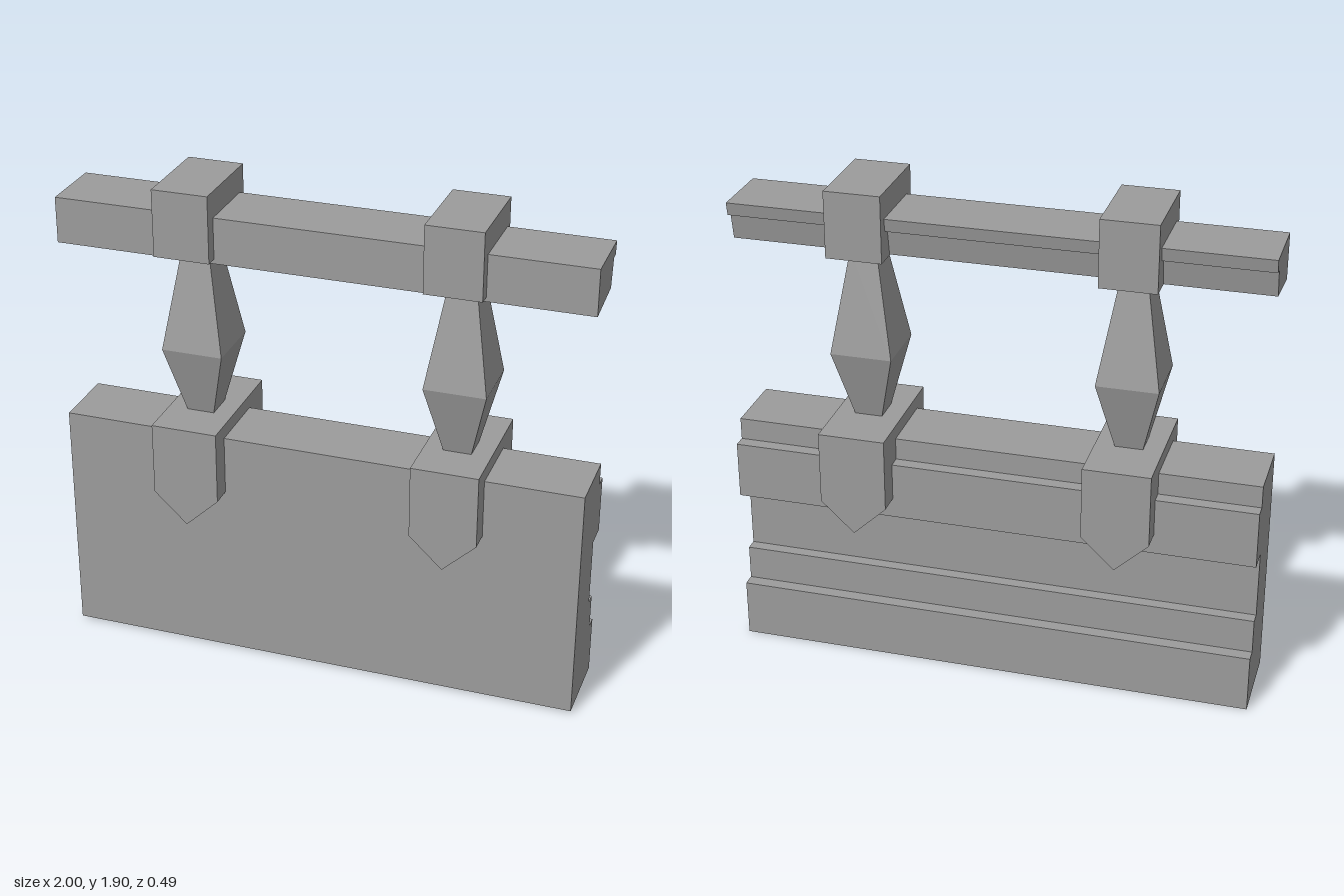
import * as THREE from 'three';

const material = new THREE.MeshStandardMaterial({
  color: 0x9c9c9c, flatShading: true, side: THREE.DoubleSide,
});

function addMesh(group, geometry, name) {
  const mesh = new THREE.Mesh(geometry, material);
  mesh.name = name;
  group.add(mesh);
}

// Extrudes a closed outline by depth, centred on its axis
function prism(points, depth) {
  const shape = new THREE.Shape(points.map(([x, y]) => new THREE.Vector2(x, y)));
  return new THREE.ExtrudeGeometry(shape, { depth, bevelEnabled: false })
    .translate(0, 0, -depth / 2);
}

// Runs a [z, y] profile along the x axis
function beam(profile) {
  return prism(profile.map(([z, y]) => [-z, y]), 2).rotateY(Math.PI / 2);
}

// Removes the faces lying wholly below a height, leaving the underside open
function openBelow(source, height) {
  const geometry = source.index ? source.toNonIndexed() : source;
  const p = geometry.attributes.position;
  const kept = [];
  for (let i = 0; i < p.count; i += 3) {
    if (Math.max(p.getY(i), p.getY(i + 1), p.getY(i + 2)) < height) continue;
    for (let j = i; j < i + 3; j++) kept.push(p.getX(j), p.getY(j), p.getZ(j));
  }
  const result = new THREE.BufferGeometry();
  result.setAttribute('position', new THREE.Float32BufferAttribute(kept, 3));
  result.computeVertexNormals();
  return result;
}

export function createModel() {
  const model = new THREE.Group();
  model.name = 'parapetRailing';

  // Wall: flat front, stepped mouldings on the back
  const wall = beam([
    [0.16, 0.01], [0.16, 0.928], [-0.104, 0.928], [-0.104, 0.843], [-0.154, 0.843],
    [-0.154, 0.622], [-0.058, 0.622], [-0.058, 0.36], [-0.104, 0.36],
    [-0.104, 0.225], [-0.154, 0.225], [-0.154, 0],
  ]);
  addMesh(model, openBelow(wall, 0.02), 'wall');

  // Handrail with a small lip along the back
  const rail = beam([
    [0.155, 1.627], [0.155, 1.802], [-0.107, 1.802], [-0.098, 1.752],
    [-0.072, 1.752], [-0.053, 1.647],
  ]);
  addMesh(model, openBelow(rail, 1.66), 'handrail');

  // Two posts, each with a pointed bracket, a spindle and a cap block
  for (const [x, side] of [[-0.493, 'right'], [0.507, 'left']]) {
    const post = new THREE.Group();
    post.name = side + 'Post';
    post.position.x = x;
    model.add(post);

    const bracket = prism([
      [-0.127, 0.98], [-0.127, 0.7], [0, 0.58], [0.127, 0.7], [0.127, 0.98],
    ], 0.485);
    addMesh(post, bracket, 'bracket');

    // Square spindle, widest at its middle
    const outline = [[0.053, 0.98], [0.117, 1.247], [0.05, 1.645]]
      .map(([half, y]) => new THREE.Vector2(half * Math.SQRT2, y));
    const spindle = new THREE.LatheGeometry(outline, 4, Math.PI / 4);
    spindle.scale(1, 1, 1.05).translate(0, 0, 0.018);
    addMesh(post, spindle, 'spindle');

    const cap = new THREE.BoxGeometry(0.212, 0.255, 0.347).translate(0, 1.772, 0.03);
    addMesh(post, openBelow(cap, 1.66), 'capBlock');
  }

  return model;
}
